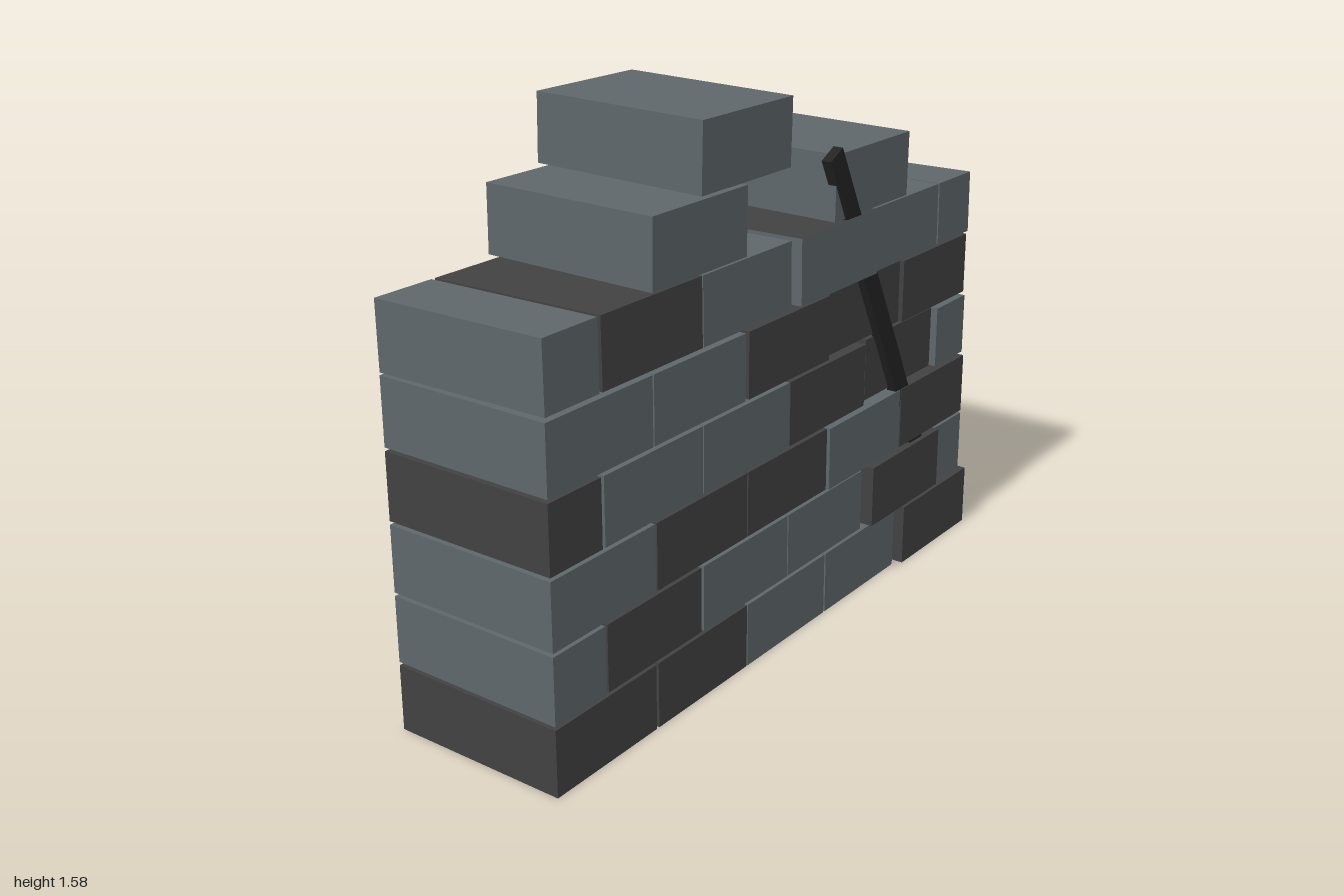
import * as THREE from 'three';

const slate = new THREE.MeshStandardMaterial({ name: 'slate stone', color: 0x5f676b });
const dark = new THREE.MeshStandardMaterial({ name: 'dark stone', color: 0x434242 });
const crackBlack = new THREE.MeshStandardMaterial({ name: 'crack black', color: 0x242424 });

const PITCH = 0.198, HEIGHT = 0.188, DEPTH = 0.53;
const S = slate, D = dark;

// Each course lists its bricks: left x, right x, material, shift in z
const courses = [
  { tilt: 0, bricks: [[-1, -0.61, D], [-0.6, -0.207, D], [-0.203, 0.185, S], [0.192, 0.58, S], [0.608, 1, D, 0.02]] },
  { tilt: 0, bricks: [[-1, -0.808, S], [-0.8, -0.415, D], [-0.405, -0.012, S], [-0.008, 0.38, S], [0.415, 0.808, D, 0.02], [0.812, 0.975, S, 0.006]] },
  { tilt: 0, bricks: [[-1, -0.607, S], [-0.6, -0.21, D], [-0.205, 0.183, D], [0.187, 0.577, S, 0.008], [0.585, 0.972, D, 0.008]] },
  { tilt: 0, bricks: [[-1, -0.81, D], [-0.8, -0.407, S], [-0.403, -0.012, S], [-0.008, 0.38, D], [0.415, 0.798, D, -0.02], [0.802, 0.975, S]] },
  { tilt: 0, bricks: [[-1, -0.61, S], [-0.605, -0.22, S], [-0.205, 0.185, D], [0.207, 0.596, D, -0.02], [0.6, 0.98, D, -0.008]] },
  { tilt: -0.01, bricks: [[-1, -0.81, S], [-0.798, -0.408, D], [-0.404, -0.012, S], [0.02, 0.408, S, 0.012, D], [0.412, 0.775, S], [0.782, 0.972, S]] },
  { tilt: 0.012, bricks: [[-0.605, -0.217, S], [0.2, 0.585, S]] },
  { tilt: 0.022, bricks: [[-0.407, -0.02, S]] },
];

function makeBrick([x0, x1, mat, dz = 0, topMat = mat], row, tilt) {
  const geo = new THREE.BoxGeometry(x1 - x0, HEIGHT, DEPTH);
  // box face order: +x, -x, top, bottom, front, back
  const mesh = new THREE.Mesh(geo, topMat === mat ? mat : [mat, mat, topMat, mat, mat, mat]);
  mesh.position.set((x0 + x1) / 2, row * PITCH + HEIGHT / 2, dz);
  mesh.rotation.x = tilt;
  mesh.name = 'brick';
  return mesh;
}

// Straight bar between two points, lying flat against the wall at depth z
function makeCrackSegment([ax, ay], [bx, by], z) {
  const length = Math.hypot(bx - ax, by - ay);
  const mesh = new THREE.Mesh(new THREE.BoxGeometry(0.066, length, 0.03), crackBlack);
  mesh.position.set((ax + bx) / 2, (ay + by) / 2, z);
  mesh.rotation.z = Math.atan2(ax - bx, by - ay);
  mesh.name = 'crackSegment';
  return mesh;
}

export function createModel() {
  const group = new THREE.Group();
  group.name = 'ruinedWall';

  courses.forEach(({ tilt, bricks }, row) => {
    const course = new THREE.Group();
    course.name = `brickCourse${row + 1}`;
    bricks.forEach((b) => course.add(makeBrick(b, row, tilt)));
    group.add(course);
  });

  // The same diagonal crack on the front and the back
  const path = [[0.87, 0.025], [0.532, 0.708], [0.192, 1.375]];
  for (const [side, name] of [[1, 'frontCrack'], [-1, 'backCrack']]) {
    const crack = new THREE.Group();
    crack.name = name;
    for (let i = 0; i < path.length - 1; i++) {
      crack.add(makeCrackSegment(path[i], path[i + 1], side * 0.255));
    }
    group.add(crack);
  }
  return group;
}
